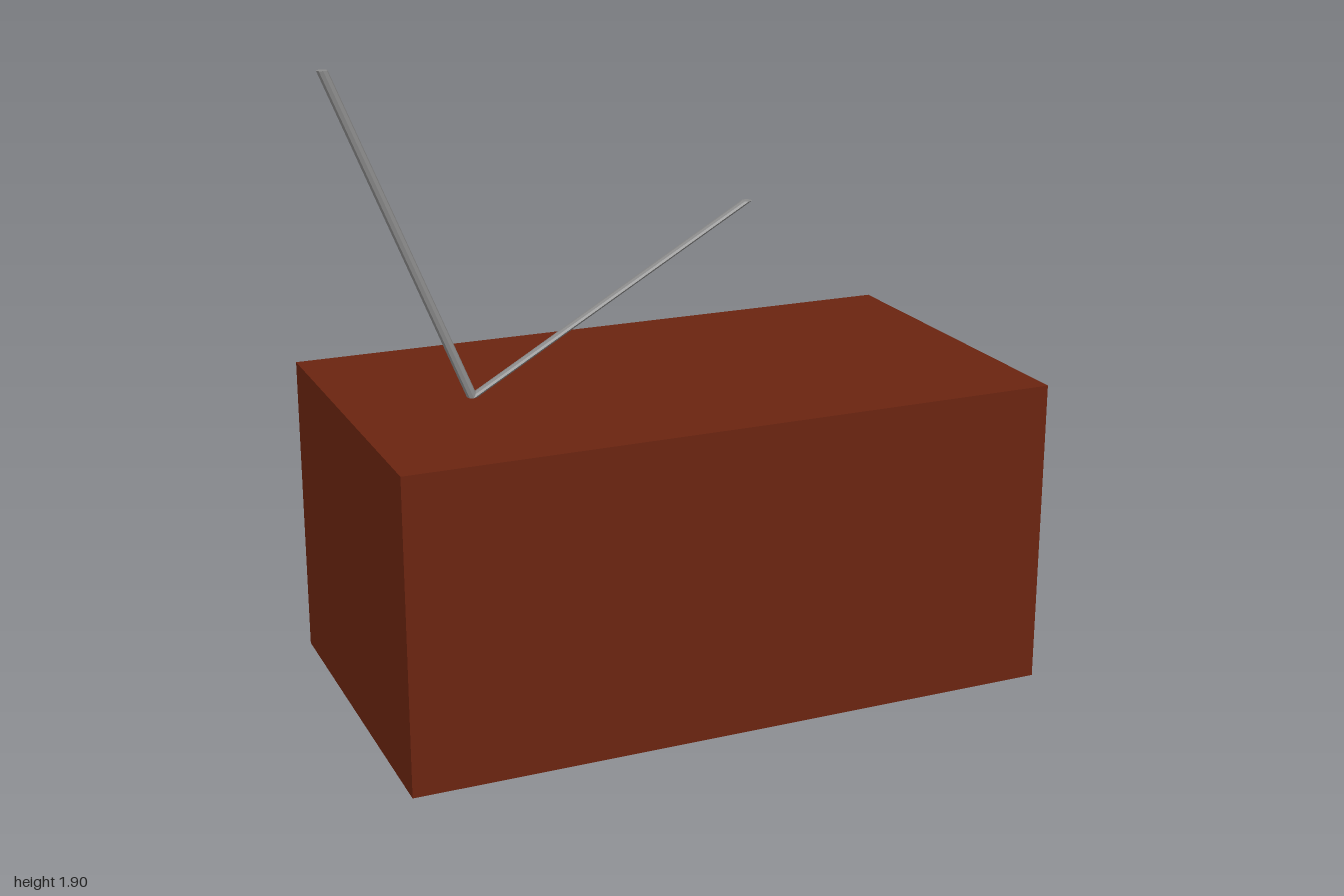
import * as THREE from 'three';

const paint = (color) => new THREE.MeshStandardMaterial({ color, flatShading: true });

export function createModel() {
  const group = new THREE.Group();
  const wood = paint(0x6b2410);
  const metal = paint(0x8c8c8c);
  const dark = paint(0x3a3a3a);

  const add = (name, geometry, material, x = 0, y = 0, z = 0) => {
    const mesh = new THREE.Mesh(geometry, material);
    mesh.name = name;
    mesh.position.set(x, y, z);
    group.add(mesh);
    return mesh;
  };
  const box = (name, material, x0, x1, y0, y1, z0, z1) => add(
    name, new THREE.BoxGeometry(x1 - x0, y1 - y0, z1 - z0), material,
    (x0 + x1) / 2, (y0 + y1) / 2, (z0 + z1) / 2);

  // Cabinet: solid block with a raised rim around the recessed dial panel at -z
  const rect = (path, x0, x1, y0, y1) =>
    path.moveTo(x0, y0).lineTo(x1, y0).lineTo(x1, y1).lineTo(x0, y1).closePath();
  const panelZ = -0.45;
  box('cabinet', wood, -0.97, 1, 0, 0.93, panelZ, 0.55);
  const rim = rect(new THREE.Shape(), -0.97, 1, 0, 0.93);
  rim.holes.push(rect(new THREE.Path(), -0.93, 0.95, 0.055, 0.878));
  add('cabinetRim', new THREE.ExtrudeGeometry(rim, { depth: 0.1, bevelEnabled: false }), wood, 0, 0, -0.55);

  // Tuning dial: two strips and a pointer
  box('dialUpperStrip', paint(0xfbdfc8), -0.525, 0.55, 0.565, 0.695, panelZ - 0.003, panelZ);
  box('dialLowerStrip', paint(0xcccccc), -0.525, 0.55, 0.457, 0.565, panelZ - 0.003, panelZ);
  box('dialPointer', paint(0xd00808), 0.107, 0.134, 0.462, 0.572, panelZ - 0.028, panelZ);

  // Speaker: one central stud with six around it
  const stud = new THREE.CylinderGeometry(0.023, 0.023, 0.014, 8).rotateX(Math.PI / 2);
  for (let i = 0; i < 7; i++) {
    const r = i === 0 ? 0 : 0.058;
    const a = (i * Math.PI) / 3;
    add('speakerStud', stud, dark, -0.737 + r * Math.cos(a), 0.377 + r * Math.sin(a), panelZ - 0.007);
  }

  // Aerials: upright rods sheared sideways, so both ends stay level
  const aerial = (name, x0, x1, height) => {
    const rod = new THREE.CylinderGeometry(0.016, 0.016, height, 8);
    rod.translate(0, height / 2, 0);
    const p = rod.attributes.position;
    for (let i = 0; i < p.count; i++) p.setX(i, p.getX(i) + (x1 - x0) * p.getY(i) / height);
    rod.computeVertexNormals();
    add(name, rod, metal, x0, 0.93, -0.015);
  };
  aerial('tallAerial', -0.586, -0.984, 0.972);
  aerial('lowAerial', -0.586, 0.284, 0.502);

  return group;
}
